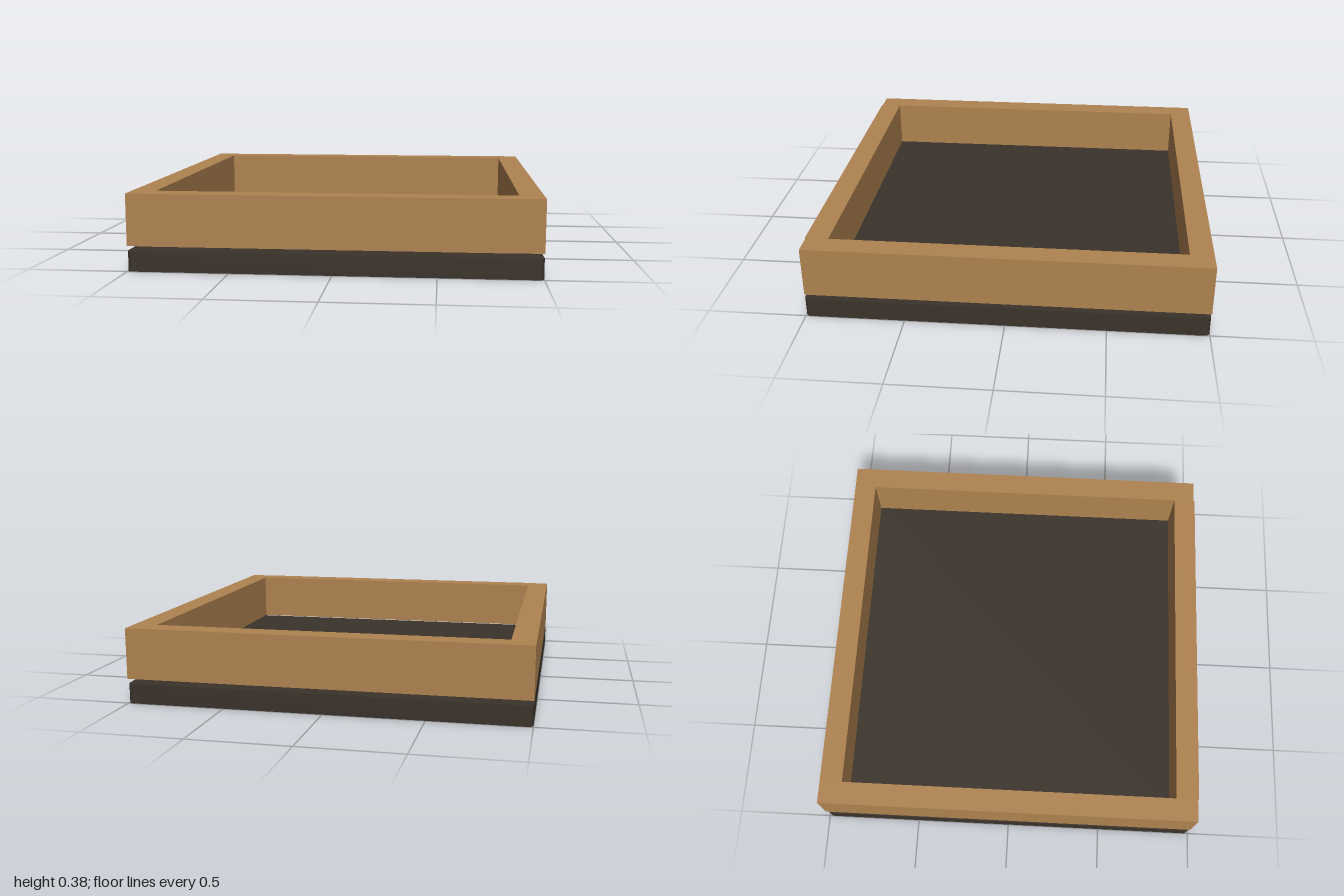
import * as THREE from 'three';

const wood = new THREE.MeshStandardMaterial({ name: 'wood', color: 0xb08350 });
const soil = new THREE.MeshStandardMaterial({ name: 'darkBase', color: 0x3b332b });

// Square outline with rounded corners
function roundedSquare(half, r) {
  const s = new THREE.Shape();
  const c = half - r;
  s.absarc(c, c, r, 0, Math.PI / 2);
  s.absarc(-c, c, r, Math.PI / 2, Math.PI);
  s.absarc(-c, -c, r, Math.PI, Math.PI * 1.5);
  s.absarc(c, -c, r, Math.PI * 1.5, Math.PI * 2);
  s.closePath();
  return s;
}

export function createModel() {
  const model = new THREE.Group();
  model.name = 'squareTray';

  // Base slab
  const slab = new THREE.ExtrudeGeometry(roundedSquare(1, 0.025), {
    depth: 0.1, bevelEnabled: false, curveSegments: 5,
  });
  slab.rotateX(-Math.PI / 2);
  const base = new THREE.Mesh(slab, soil);
  base.name = 'baseSlab';
  model.add(base);

  // Four rails floating just above the slab
  const bottom = 0.125, top = 0.382, t = 0.118;
  const rail = (name, w, d, x, z) => {
    const mesh = new THREE.Mesh(new THREE.BoxGeometry(w, top - bottom, d), wood);
    mesh.name = name;
    mesh.position.set(x, (top + bottom) / 2, z);
    model.add(mesh);
  };
  const inner = 2 - 2 * t;
  rail('frontRail', inner, t, 0, 1 - t / 2);
  rail('backRail', inner, t, 0, -1 + t / 2);
  rail('leftRail', t, 1.995, 1 - t / 2, -0.0025);
  rail('rightRail', t, 1.995, -1 + t / 2, -0.0025);

  return model;
}
